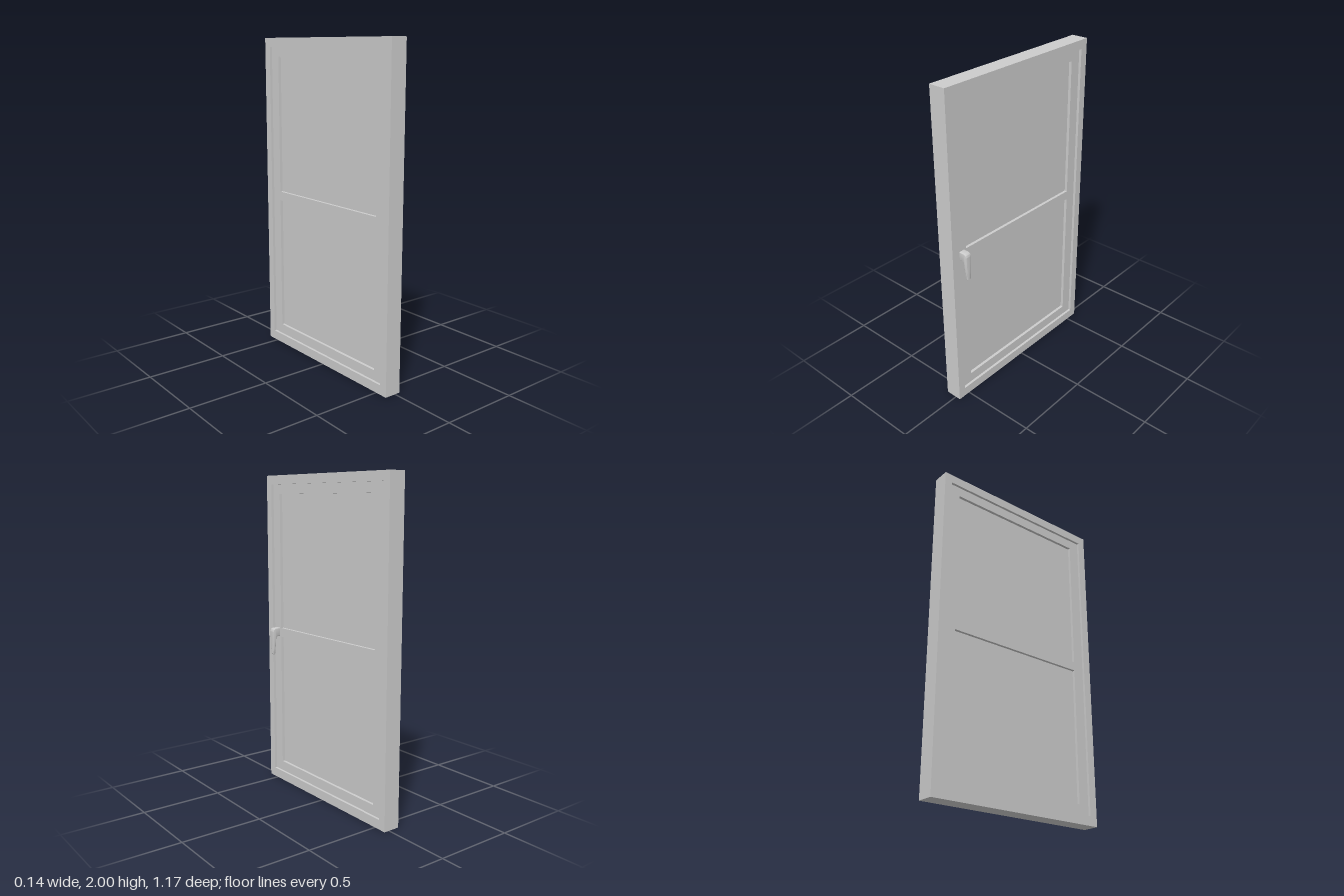
import * as THREE from 'three';
import { toCreasedNormals } from 'three/addons/utils/BufferGeometryUtils.js';

const material = new THREE.MeshStandardMaterial({ color: 0xcccccc });

function rect(target, w, y0, y1) {
  target.moveTo(-w, y0);
  target.lineTo(w, y0);
  target.lineTo(w, y1);
  target.lineTo(-w, y1);
  target.closePath();
  return target;
}

// Rectangular slab facing x, from x0 to x1, with rectangular openings [halfWidth, y0, y1]
function slab(name, outer, openings, x0, x1) {
  const shape = rect(new THREE.Shape(), ...outer);
  for (const o of openings) shape.holes.push(rect(new THREE.Path(), ...o));
  const geometry = new THREE.ExtrudeGeometry(shape, { depth: x1 - x0, bevelEnabled: false });
  geometry.rotateY(Math.PI / 2);
  geometry.translate(x0, 0, 0);
  const mesh = new THREE.Mesh(geometry, material);
  mesh.name = name;
  return mesh;
}

// Lever handle: side profile extruded across z, narrowing towards the tip
function handle() {
  const b = 0.004;
  const s = new THREE.Shape();
  s.moveTo(0.016, 1.026);
  s.lineTo(0.048, 1.026);
  s.quadraticCurveTo(0.066, 1.024, 0.066, 1.006);
  s.lineTo(0.065, 0.862);
  s.quadraticCurveTo(0.061, 0.857, 0.057, 0.862);
  s.lineTo(0.051, 0.955);
  s.quadraticCurveTo(0.048, 0.978, 0.034, 0.979);
  s.lineTo(0.016, 0.979);
  s.closePath();
  const depth = 0.032;
  const geometry = new THREE.ExtrudeGeometry(s, {
    depth, curveSegments: 8, bevelThickness: b, bevelSize: b, bevelSegments: 3,
  });
  geometry.translate(0, 0, -depth / 2);
  const p = geometry.attributes.position;
  for (let i = 0; i < p.count; i++) {
    const t = THREE.MathUtils.clamp((p.getY(i) - 0.855) / 0.165, 0, 1);
    p.setZ(i, p.getZ(i) * (0.64 + 0.36 * t));
    p.setX(i, Math.min(p.getX(i), 0.07));
  }
  const mesh = new THREE.Mesh(toCreasedNormals(geometry, 0.7), material);
  mesh.name = 'handle';
  mesh.position.z = 0.495;
  return mesh;
}

export function createModel() {
  const group = new THREE.Group();
  group.name = 'window';
  const panes = [[0.463, 0.12, 0.973], [0.463, 1.03, 1.885]];

  // Outer frame, recessed sash with a middle rail, and two panes
  group.add(slab('outerFrame', [0.583, 0, 2], [[0.533, 0.058, 1.945]], -0.071, 0.034));
  group.add(slab('sash', [0.533, 0.058, 1.945], panes, -0.055, 0.018));
  panes.forEach((pane, i) => {
    group.add(slab(i ? 'upperPane' : 'lowerPane', pane, [], -0.037, 0));
  });
  group.add(handle());
  return group;
}
